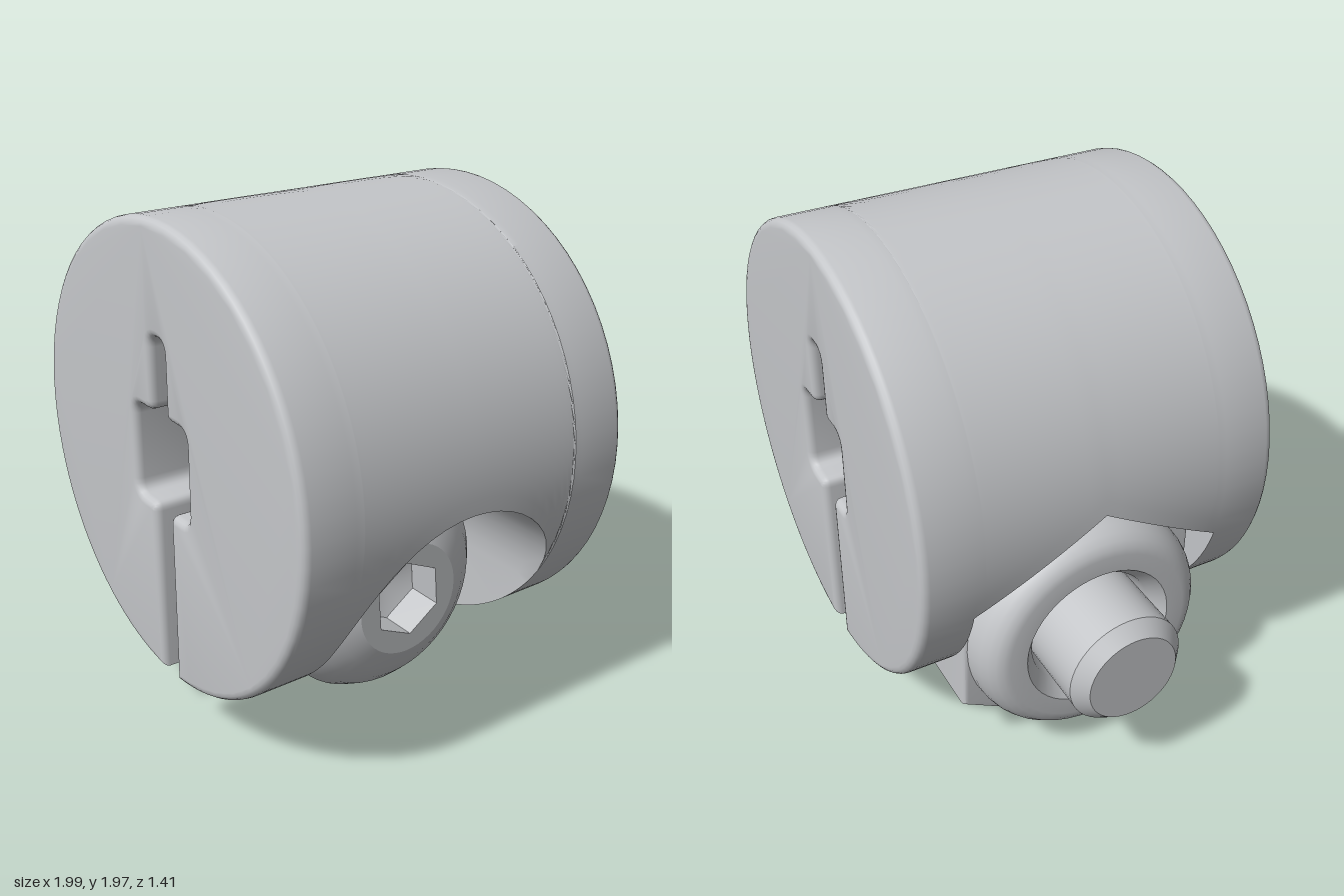
import * as THREE from 'three';
import { toCreasedNormals } from 'three/addons/utils/BufferGeometryUtils.js';

const CX = 0.11, CY = 1.09, R = 0.88, HALF = 0.705; // clamp barrel
const AXIS = 0.565;                                  // height of the screw axis
const BORE = 0.47, BORE_X = 0.42;                    // recess for the screw head
const NUT_W = 0.5, NUT_X = -0.2;                     // hexagonal recess for the nut
const SLOT = 0.05;                                   // half width of the slot

const steel = new THREE.MeshStandardMaterial({ color: 0xc4c6c9, side: THREE.DoubleSide });
steel.name = 'steel grey';

const onCircle = (a) => new THREE.Vector2(CX + R * Math.cos(a), CY + R * Math.sin(a));

function named(geometry, name, crease = 0.6) {
  const mesh = new THREE.Mesh(toCreasedNormals(geometry, crease), steel);
  mesh.name = name;
  return mesh;
}

// Turned part along x, from [radius, x] pairs
function turned(profile, name) {
  const g = new THREE.LatheGeometry(profile.map(([r, x]) => new THREE.Vector2(r, x)), 48);
  g.rotateZ(-Math.PI / 2);
  const mesh = named(g, name);
  mesh.position.y = AXIS;
  return mesh;
}

// Keyhole-like opening: slot, square, upper slot, with rounded corners
function openingPoints() {
  const yb = CY - Math.sqrt(R * R - SLOT * SLOT);
  const left = [[-SLOT, yb, 0], [-SLOT, 0.91, 0.035], [-0.18, 0.91, 0.05], [-0.18, 1.27, 0.05],
    [-SLOT, 1.27, 0.035], [-SLOT, 1.555, 0.046]];
  const all = [...left, ...left.slice().reverse().map(([x, y, r]) => [-x, y, r])];
  const P = all.map(([x, y]) => new THREE.Vector2(CX + x, y));
  const out = [P[0]];
  for (let i = 1; i < P.length - 1; i++) {
    const toward = (q) => P[i].clone().add(q.clone().sub(P[i]).setLength(all[i][2]));
    out.push(...new THREE.QuadraticBezierCurve(toward(P[i - 1]), P[i], toward(P[i + 1])).getPoints(5));
  }
  return out; // the last slot corner is the first point of the section
}

// Cross-section of the barrel at depth z, with or without the two recesses
function section(z, cutHead, cutNut, inset, opening) {
  const pts = [];
  const arc = (a, b, n) => { for (let i = 0; i < n; i++) pts.push(onCircle(a + (b - a) * i / n)); };
  const line = (p, q, n) => { for (let i = 0; i < n; i++) pts.push(p.clone().lerp(q, i / n)); };
  const az = Math.abs(z);
  const headY = AXIS + Math.sqrt(Math.max(0, BORE * BORE - z * z));
  const nutY = AXIS + (2 * NUT_W - Math.min(az, NUT_W)) / Math.sqrt(3);
  const a0 = -Math.acos(SLOT / R), a1 = -Math.PI - a0 + 2 * Math.PI;
  const headLow = -Math.acos((BORE_X - CX) / R), headHigh = Math.asin((headY - CY) / R);
  const nutHigh = Math.PI - Math.asin((nutY - CY) / R);
  const nutLow = 2 * Math.PI - Math.acos((NUT_X - CX) / R);

  arc(a0, headLow, 5);
  if (cutHead) {
    const corner = new THREE.Vector2(BORE_X, headY);
    line(onCircle(headLow), corner, 8);
    line(corner, onCircle(headHigh), 6);
  } else arc(headLow, headHigh, 14);
  arc(headHigh, nutHigh, 48);
  if (cutNut) {
    const corner = new THREE.Vector2(NUT_X, nutY);
    line(onCircle(nutHigh), corner, 6);
    line(corner, onCircle(nutLow), 8);
  } else arc(nutHigh, nutLow, 14);
  arc(nutLow, a1, 5);
  pts.push(...opening);

  // Shrink the outline evenly for the rounded ends
  const n = pts.length;
  return pts.map((p, i) => {
    const e = p.clone().sub(pts[(i + n - 1) % n]).normalize();
    const f = pts[(i + 1) % n].clone().sub(p).normalize();
    const k = inset / Math.max(0.3, 1 + e.dot(f));
    return new THREE.Vector3(p.x - (e.y + f.y) * k, p.y + (e.x + f.x) * k, z);
  });
}

function barrelGeometry() {
  const opening = openingPoints();
  const half = [];
  const fillet = 0.032;
  for (let i = 0; i <= 4; i++) {
    const t = i / 4 * Math.PI / 2;
    half.push([HALF - fillet * (1 - Math.cos(Math.PI / 2 - t)), false, false, fillet * (1 - Math.sin(t))]);
  }
  // rounded end runs from the inset end face to the full outline
  half.forEach((s, i) => { s[0] = HALF - fillet * (1 - Math.cos(i / 4 * Math.PI / 2)); });
  half.push([NUT_W, false, false, 0], [NUT_W, false, true, 0], [BORE, false, true, 0]);
  for (let i = 12; i >= 1; i--) half.push([BORE * Math.sin(i / 12 * Math.PI / 2), true, true, 0]);
  const specs = [...half.map(([z, ...rest]) => [-z, ...rest]), [0, true, true, 0], ...half.slice().reverse()];
  const rows = specs.map((s) => section(...s, opening));

  const pos = [];
  const tri = new THREE.Triangle();
  const face = (a, b, c) => {
    if (tri.set(a, b, c).getArea() > 1e-9) for (const p of [a, b, c]) pos.push(p.x, p.y, p.z);
  };
  for (let r = 0; r < rows.length - 1; r++) {
    const A = rows[r], B = rows[r + 1], n = A.length;
    for (let i = 0; i < n; i++) {
      const j = (i + 1) % n;
      face(A[i], A[j], B[j]);
      face(A[i], B[j], B[i]);
    }
  }
  // Flat end faces
  const back = rows[0], front = rows[rows.length - 1];
  const flat = front.map((p) => new THREE.Vector2(p.x, p.y));
  for (const [a, b, c] of THREE.ShapeUtils.triangulateShape(flat, [])) {
    face(front[a], front[b], front[c]);
    face(back[c], back[b], back[a]);
  }
  const g = new THREE.BufferGeometry();
  g.setAttribute('position', new THREE.Float32BufferAttribute(pos, 3));
  return g;
}

const hexagon = (r, turn = 0) => Array.from({ length: 6 }, (_, i) => {
  const a = Math.PI / 2 + turn + i * Math.PI / 3;
  return new THREE.Vector2(r * Math.cos(a), r * Math.sin(a));
});

export function createModel() {
  const model = new THREE.Group();
  model.name = 'clampCollar';
  model.add(named(barrelGeometry(), 'clampBarrel'));

  // Screw: shank, domed head, hex socket with a conical bottom
  const screw = new THREE.Group();
  screw.name = 'screw';
  screw.add(turned([[0, -1], [0.18, -1], [0.23, -0.945], [0.23, 0.43]], 'screwShank'));
  screw.add(turned([[0.2, 0.422], [0.435, 0.422], [0.445, 0.435], [0.445, 0.47], [0.41, 0.53],
    [0.36, 0.582], [0.295, 0.628], [0.22, 0.665]], 'screwHead'));
  const rim = new THREE.Shape().absarc(0, 0, 0.22, 0, Math.PI * 2);
  rim.holes.push(new THREE.Path(hexagon(0.153, 0.09)));
  const socket = new THREE.ExtrudeGeometry(rim, { depth: 0.14, bevelEnabled: false, curveSegments: 24 });
  socket.rotateY(Math.PI / 2);
  const socketMesh = named(socket, 'hexSocket');
  socketMesh.position.set(0.525, AXIS, 0);
  screw.add(socketMesh);
  screw.add(turned([[0, 0.47], [0.16, 0.53]], 'socketBottom'));
  model.add(screw);

  // Hex nut with a rounded collar
  const bevel = 0.03;
  const nutGeometry = new THREE.ExtrudeGeometry(new THREE.Shape(hexagon(0.56 - bevel * 1.15)), {
    depth: 0.41 - 2 * bevel, bevelThickness: bevel, bevelSize: bevel, bevelSegments: 4,
  });
  nutGeometry.rotateY(Math.PI / 2);
  const nut = named(nutGeometry, 'hexNut');
  nut.position.set(-0.61 + bevel, AXIS, 0);
  model.add(nut);
  const collar = [[0.23, -0.62], [0.25, -0.7], [0.3, -0.76]];
  for (let i = 0; i <= 6; i++) {
    const t = i / 6 * Math.PI / 2;
    collar.push([0.37 + 0.1 * Math.sin(t), -0.61 - 0.15 * Math.cos(t)]);
  }
  model.add(turned(collar, 'nutCollar'));
  return model;
}
